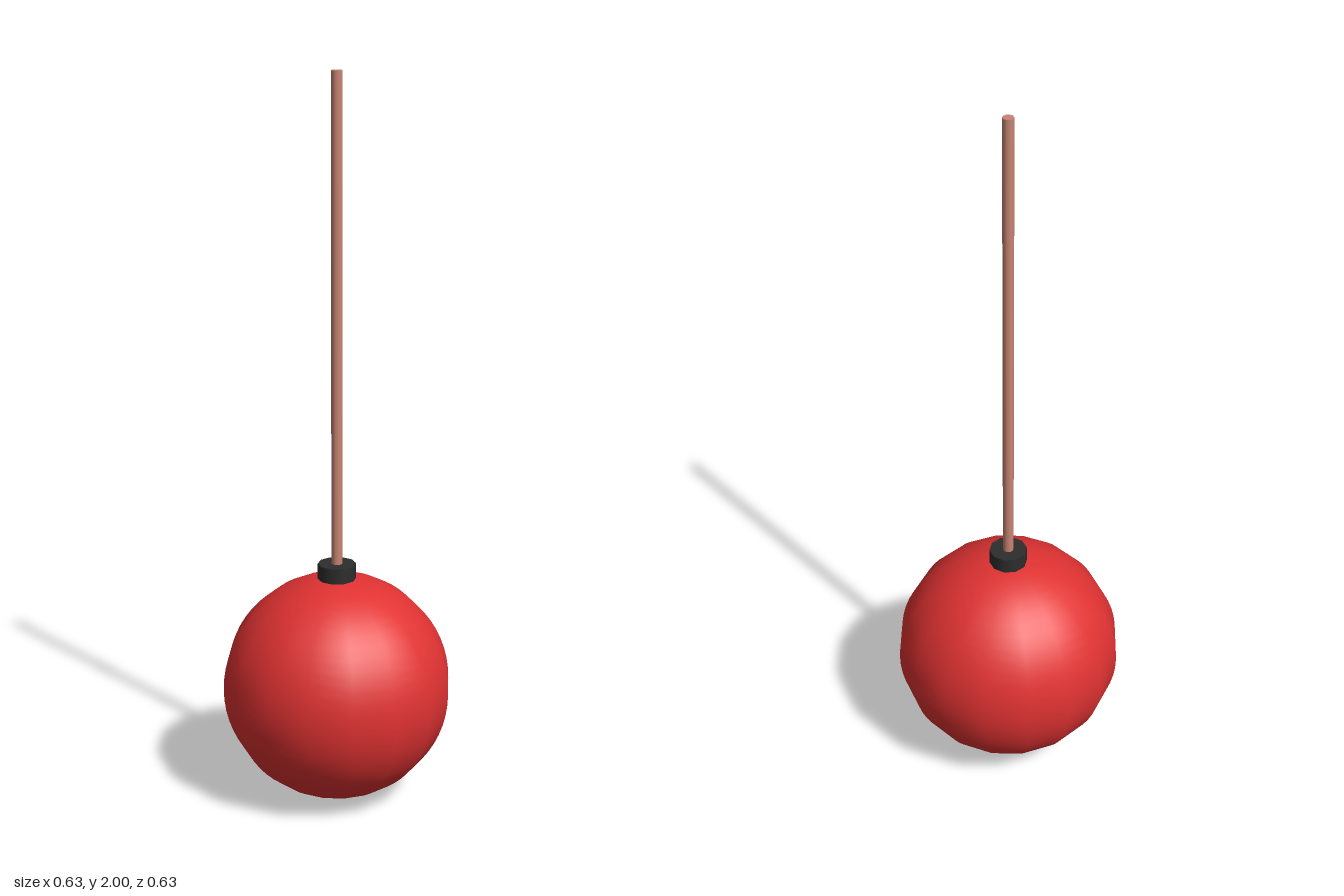
import * as THREE from 'three';

const paint = (name, color) => {
  const material = new THREE.MeshStandardMaterial({ color });
  material.name = name;
  return material;
};

export function createModel() {
  const group = new THREE.Group();
  group.name = 'hangingBall';

  const add = (name, geometry, material, y) => {
    const mesh = new THREE.Mesh(geometry, material);
    mesh.name = name;
    mesh.position.y = y;
    group.add(mesh);
  };

  // Smooth ball, sixteen sided when seen from above
  const radius = 0.315;
  add('ball', new THREE.SphereGeometry(radius, 16, 32), paint('red', 0xe03232), radius);

  // Ten sided collar resting on the ball
  const collarBottom = 0.627, collarTop = 0.67;
  add('collar', new THREE.CylinderGeometry(0.0525, 0.0525, collarTop - collarBottom, 10),
    paint('charcoal', 0x2d2d2d), (collarBottom + collarTop) / 2);

  // Thin rod rising from the collar
  const rodBottom = 0.65, rodTop = 2;
  add('rod', new THREE.CylinderGeometry(0.015, 0.015, rodTop - rodBottom, 10),
    paint('copper', 0xc88574), (rodBottom + rodTop) / 2);

  return group;
}
